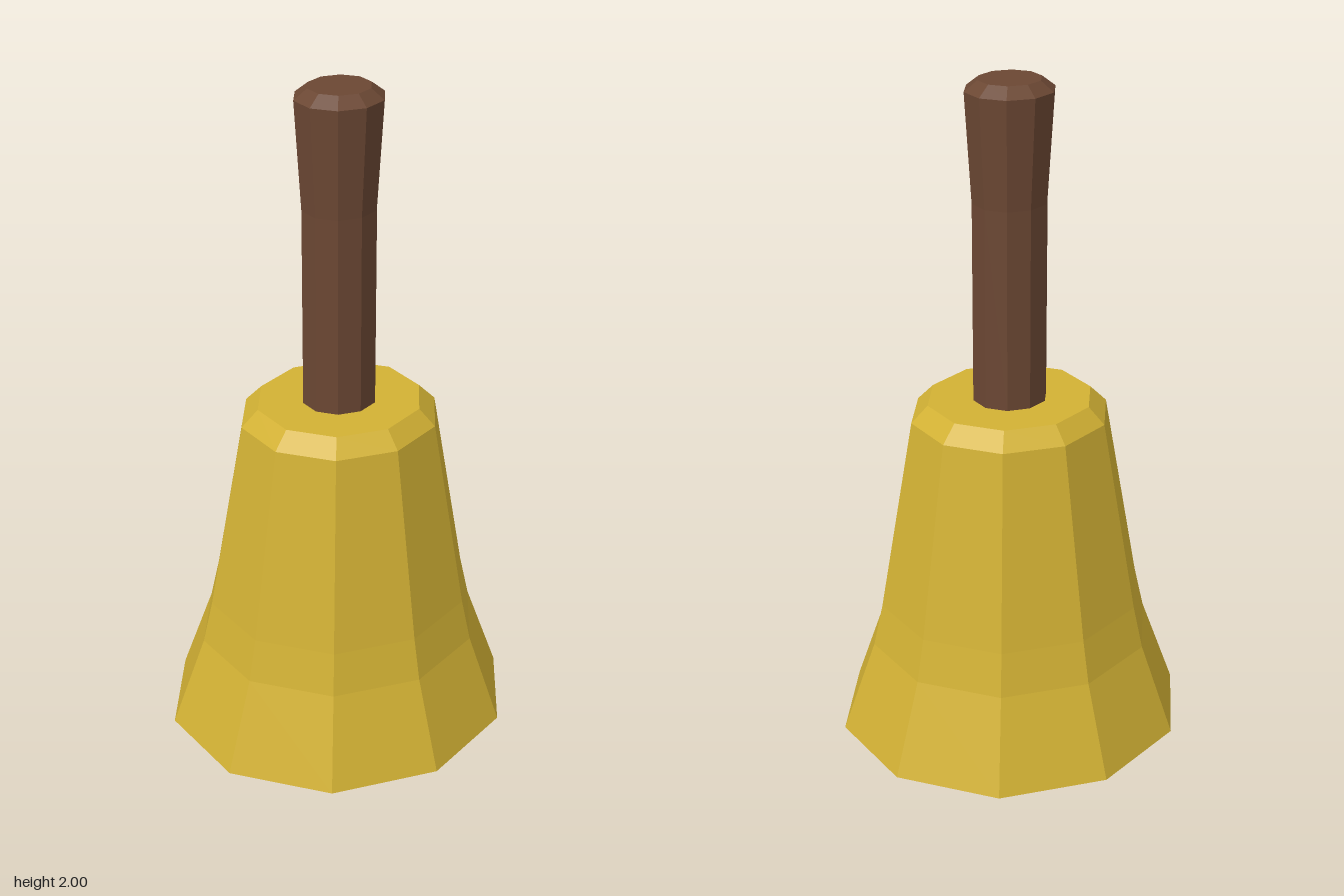
import * as THREE from 'three';

const SIDES = 10;
const LEAN = 0.0075;

// Ten-sided turned part with flat facets; profile is [half width, height]
function turned(name, profile, material) {
  const points = profile.map(([r, y]) => new THREE.Vector2(r, y));
  let geo = new THREE.LatheGeometry(points, SIDES);
  geo.scale(1 / Math.sin(Math.PI * 0.4), 1, 1); // equal width and depth
  const p = geo.attributes.position;
  for (let i = 0; i < p.count; i++) {
    p.setZ(i, p.getZ(i) + LEAN * Math.min(p.getY(i), 1));
  }
  geo = geo.toNonIndexed();
  geo.computeVertexNormals();
  const mesh = new THREE.Mesh(geo, material);
  mesh.name = name;
  return mesh;
}

export function createModel() {
  const brass = new THREE.MeshStandardMaterial({ color: 0xd2b134 });
  brass.name = 'brass';
  const wood = new THREE.MeshStandardMaterial({ color: 0x6b4733 });
  wood.name = 'wood';
  const iron = new THREE.MeshStandardMaterial({ color: 0x48443f });
  iron.name = 'iron';

  const model = new THREE.Group();
  model.name = 'handBell';

  // Hollow bell: inside from the crown down, round the rim, up the outside
  model.add(turned('bell', [
    [0, 1.01], [0.21, 1.01], [0.25, 0.97], [0.35, 0.4], [0.377, 0.28], [0.472, 0],
    [0.51, 0], [0.413, 0.28], [0.385, 0.41], [0.285, 1.0], [0.2375, 1.05], [0, 1.05],
  ], brass));

  // Handle, flaring towards a bevelled end
  model.add(turned('handle', [
    [0, 1.04], [0.106, 1.04], [0.106, 1.65], [0.125, 1.97], [0.088, 2.0], [0, 2.0],
  ], wood));

  // Clapper swung to one side inside the bell
  const clapper = new THREE.Group();
  clapper.name = 'clapper';
  const pivot = new THREE.Vector3(0, 1.02, 0);
  const end = new THREE.Vector3(-0.156, 0.325, -0.156);
  const dir = pivot.clone().sub(end);
  const rod = new THREE.Mesh(new THREE.CylinderGeometry(0.02, 0.02, dir.length(), 8), iron);
  rod.name = 'clapperRod';
  rod.position.copy(pivot).add(end).multiplyScalar(0.5);
  rod.quaternion.setFromUnitVectors(new THREE.Vector3(0, 1, 0), dir.normalize());
  const ballGeo = new THREE.SphereGeometry(0.094, 10, 7).toNonIndexed();
  ballGeo.computeVertexNormals();
  const ball = new THREE.Mesh(ballGeo, iron);
  ball.name = 'clapperBall';
  ball.position.copy(end);
  clapper.add(rod, ball);
  model.add(clapper);

  return model;
}
